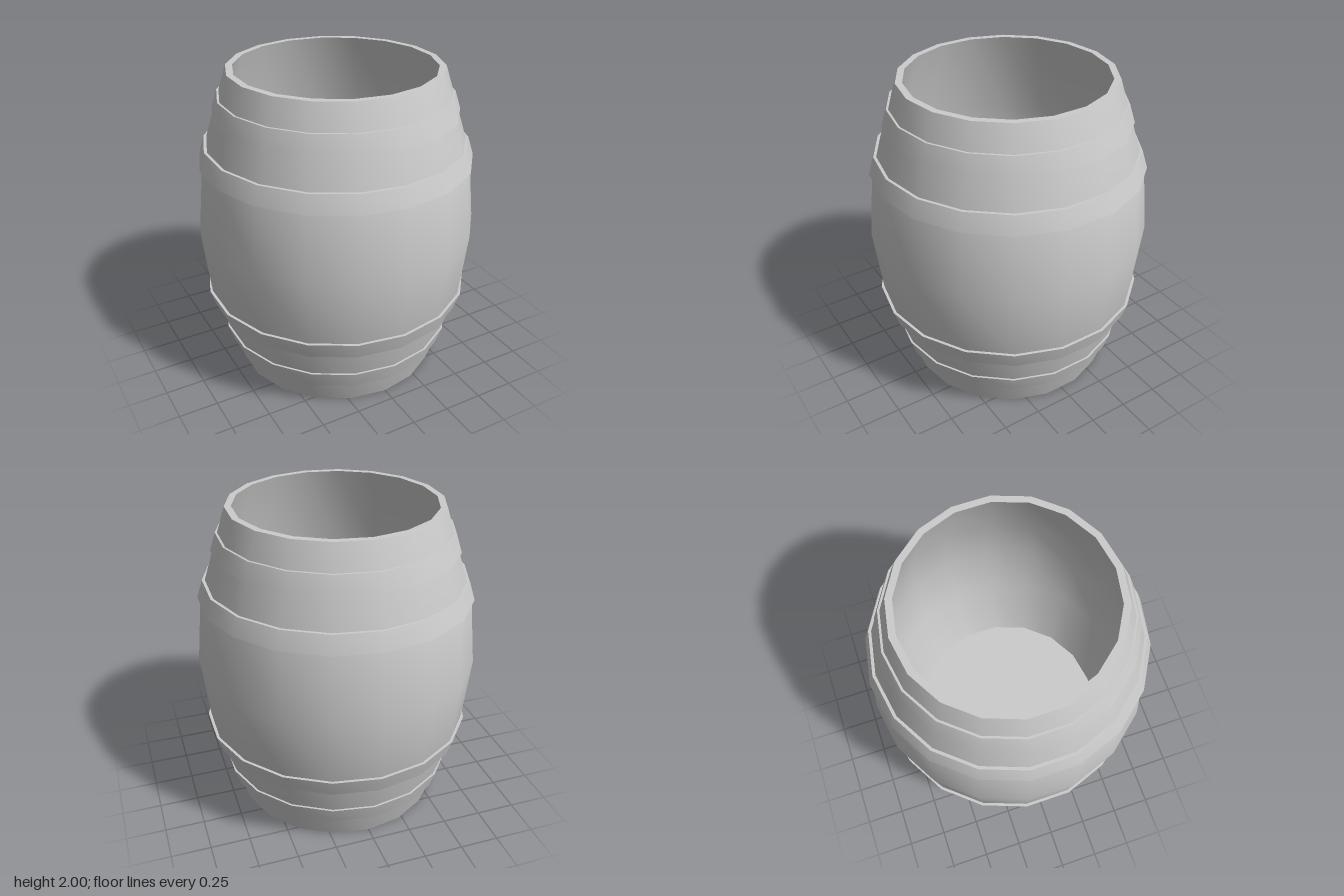
import * as THREE from 'three';
import { toCreasedNormals } from 'three/addons/utils/BufferGeometryUtils.js';

const SIDES = 18;
const material = new THREE.MeshStandardMaterial({ color: 0xcccccc });

function addPart(parent, name, geometry) {
  const mesh = new THREE.Mesh(toCreasedNormals(geometry, 0.6), material);
  mesh.name = name;
  parent.add(mesh);
}

// Revolves a closed [radius, height] outline: up the outside, down the inside.
function revolve(outline) {
  const points = [...outline, outline[0]].map(([r, y]) => new THREE.Vector2(r, y));
  return new THREE.LatheGeometry(points, SIDES);
}

export function createModel() {
  const barrel = new THREE.Group();
  barrel.name = 'barrel';

  // Bulging wall, open at the top
  const outer = [[0.662, 0], [0.845, 0.57], [0.89, 1], [0.845, 1.43], [0.662, 2]];
  const inner = outer.map(([r, y]) => [r - 0.042, y]).reverse();
  addPart(barrel, 'wall', revolve([...outer, ...inner]));

  // Floor set slightly up inside the wall
  const floor = new THREE.CylinderGeometry(0.665, 0.655, 0.03, SIDES);
  floor.translate(0, 0.095, 0);
  addPart(barrel, 'floor', floor);

  // Hoops: wide edge toward the middle, mirrored top and bottom
  const hoops = [
    { name: 'innerHoop', wide: [0.863, 1.43], narrow: [0.827, 1.543] },
    { name: 'outerHoop', wide: [0.762, 1.73], narrow: [0.726, 1.843] },
  ];
  for (const { name, wide, narrow } of hoops) {
    const back = ([r, y]) => [r - 0.035, y];
    const flip = ([r, y]) => [r, 2 - y];
    addPart(barrel, name + 'Top', revolve([wide, narrow, back(narrow), back(wide)]));
    addPart(barrel, name + 'Bottom',
      revolve([narrow, wide, back(wide), back(narrow)].map(flip)));
  }

  return barrel;
}
